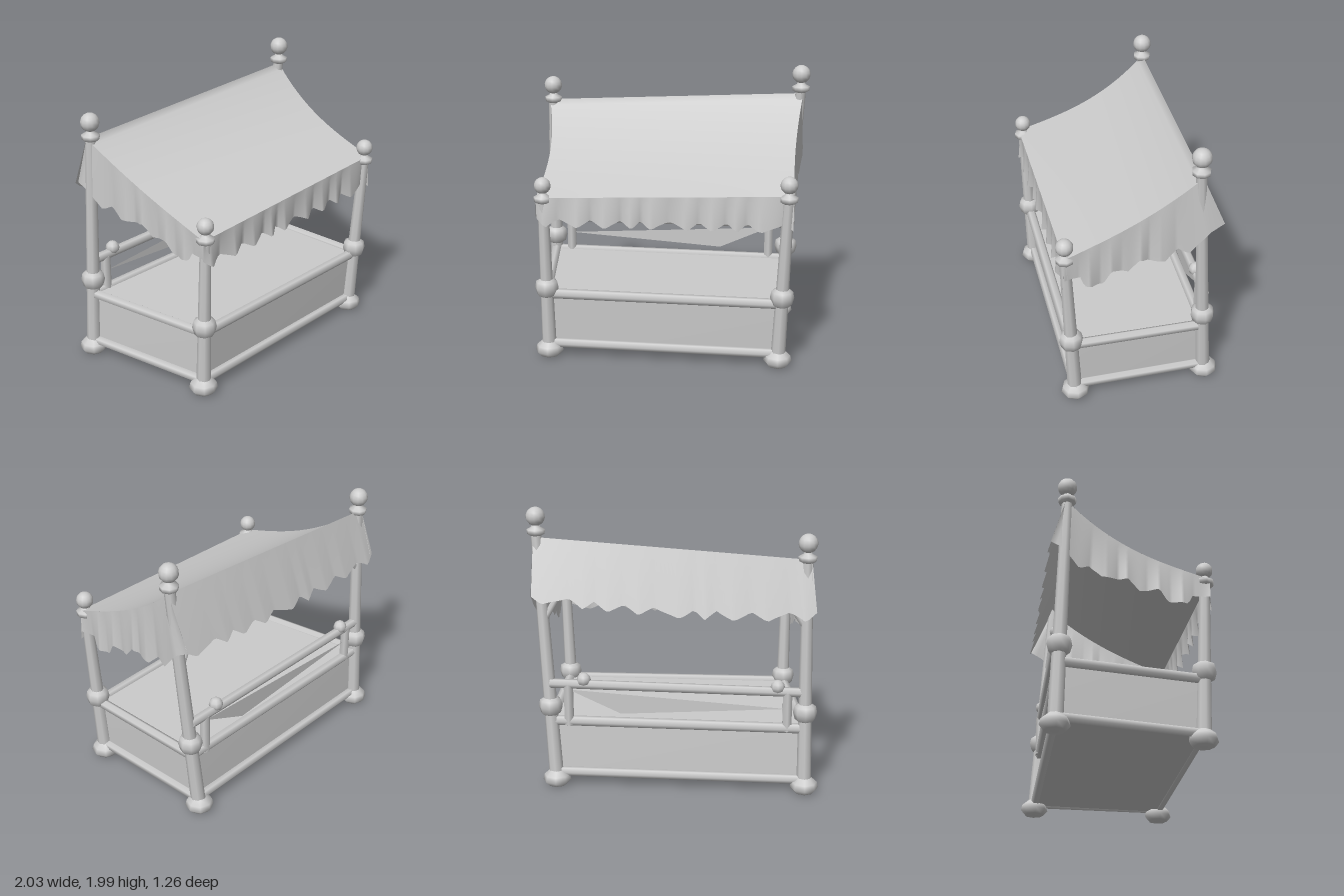
import * as THREE from 'three';
import { ParametricGeometry } from 'three/addons/geometries/ParametricGeometry.js';

const V = (x, y, z) => new THREE.Vector3(x, y, z);
const solid = new THREE.MeshStandardMaterial({ color: 0xcccccc });
const cloth = new THREE.MeshStandardMaterial({ color: 0xcccccc, side: THREE.DoubleSide });

function add(parent, name, geometry, material = solid) {
  const mesh = new THREE.Mesh(geometry, material);
  mesh.name = name;
  parent.add(mesh);
  return mesh;
}

// Tapered round bar between two points
function bar(parent, name, a, b, r0, r1 = r0, sides = 8) {
  const mesh = add(parent, name, new THREE.CylinderGeometry(r1, r0, a.distanceTo(b), sides));
  mesh.position.lerpVectors(a, b, 0.5);
  mesh.quaternion.setFromUnitVectors(V(0, 1, 0), b.clone().sub(a).normalize());
}

function lathe(parent, name, profile, position, sides = 8) {
  const points = profile.map(([r, y]) => new THREE.Vector2(r, y));
  add(parent, name, new THREE.LatheGeometry(points, sides)).position.copy(position);
}

// Posts: base, top (height of the upper ring), collar height and ball radius
const POSTS = {
  frontRight: { base: V(-0.825, 0, 0.44), top: V(-0.835, 1.19, 0.48), collar: 0.53, ball: 0.058 },
  frontLeft: { base: V(0.805, 0, 0.5), top: V(0.85, 1.25, 0.56), collar: 0.53, ball: 0.06 },
  backLeft: { base: V(0.825, 0, -0.445), top: V(0.935, 1.83, -0.32), collar: 0.59, ball: 0.066 },
  backRight: { base: V(-0.93, 0, -0.535), top: V(-0.91, 1.69, -0.48), collar: 0.6, ball: 0.066 },
};
const at = (post, y) => post.base.clone().lerp(post.top, y / post.top.y);

function buildPost(parent, key, post) {
  const group = new THREE.Group();
  group.name = key + 'Post';
  parent.add(group);
  bar(group, 'shaft', at(post, 0.03), post.top, 0.052, 0.037);
  lathe(group, 'foot', [[0, 0.005], [0.07, 0.01], [0.1, 0.045], [0.09, 0.085], [0.05, 0.12]], post.base);
  lathe(group, 'collar', [[0.045, -0.065], [0.07, -0.05], [0.084, 0], [0.075, 0.045], [0.045, 0.062]], at(post, post.collar));
  lathe(group, 'ring', [[0.03, -0.035], [0.06, -0.02], [0.064, 0.012], [0.03, 0.03], [0.025, 0.06]], post.top);
  add(group, 'ball', new THREE.SphereGeometry(post.ball, 12, 9)).position.copy(post.top).add(V(0, 0.035 + post.ball, 0));
}

// Skewed box whose vertical corners follow the leaning posts
function buildCounter(parent, y0, y1, inset) {
  const geometry = new THREE.BoxGeometry(2, 2, 2);
  const p = geometry.attributes.position;
  for (let i = 0; i < p.count; i++) {
    const x = p.getX(i), z = p.getZ(i);
    const key = (z > 0 ? 'front' : 'back') + (x > 0 ? 'Left' : 'Right');
    const c = at(POSTS[key], p.getY(i) > 0 ? y1 : y0);
    p.setXYZ(i, c.x - x * inset, c.y, c.z - z * inset);
  }
  geometry.computeVertexNormals();
  add(parent, 'counterBody', geometry);
}

// Canopy: sagging roof between the ridge and the front edge
const mix = (a, b, t) => a.clone().lerp(b, t);
const ridge = u => mix(V(-0.94, 1.68, -0.49), V(0.955, 1.79, -0.33), u);
const eave = u => mix(V(-0.88, 1.2, 0.505), V(0.885, 1.27, 0.572), u);
function roofPoint(u, v) {
  const p = mix(ridge(u), eave(u), v);
  const sag = Math.sin(Math.PI * Math.pow(v, 0.8));
  p.y -= 0.072 * sag;
  p.x += sag * (0.045 - 0.07 * u);
  return p;
}

// Uneven hanging points: 1 at a tip, 0 between tips
function scallop(u, n) {
  const w = n * u + 0.13 * Math.sin(17 * u) + 0.08 * Math.sin(31 * u);
  return 1 - Math.abs(2 * (w - Math.floor(w)) - 1);
}

// Ragged lower edge of the side cloths: [place along the slope, drop]
const SIDE_DROPS = [
  [0, 0.38], [0.04, 0.39], [0.124, 0.49], [0.18, 0.41], [0.26, 0.44], [0.44, 0.31], [0.52, 0.36],
  [0.65, 0.27], [0.71, 0.35], [0.85, 0.3], [0.88, 0.21], [1, 0.17],
];
function sideDrop(v) {
  const i = Math.max(1, SIDE_DROPS.findIndex(([place]) => place >= v - 1e-6));
  const [v0, d0] = SIDE_DROPS[i - 1], [v1, d1] = SIDE_DROPS[i];
  return d0 + (d1 - d0) * (v - v0) / (v1 - v0);
}

function sheet(parent, name, fn, nu, nv) {
  add(parent, name, new ParametricGeometry((u, v, out) => out.copy(fn(u, v)), nu, nv), cloth);
}

function buildCanopy(parent) {
  const group = new THREE.Group();
  group.name = 'canopy';
  parent.add(group);
  sheet(group, 'roof', roofPoint, 12, 25);

  sheet(group, 'frontValance', (u, t) => {
    const s = scallop(u, 9.5);
    return eave(u).add(V(0, -t * (0.15 + 0.05 * u + 0.055 * s), t * (0.035 * s - 0.01)));
  }, 76, 4);

  sheet(group, 'backValance', (u, t) => {
    const s = scallop(u, 9);
    const low = mix(V(-0.975, 1.34, -0.595), V(0.96, 1.43, -0.49), u);
    low.y -= 0.06 * s + 0.04 * Math.sin(Math.PI * u);
    low.z -= 0.025 * s - 0.01;
    return mix(ridge(u), low, t);
  }, 72, 5);

  for (const side of [-1, 1]) {
    sheet(group, side > 0 ? 'leftValance' : 'rightValance', (v, t) => {
      const corner = Math.pow(1 - v, 10);
      const p = roofPoint(side > 0 ? 1 : 0, v);
      p.y -= t * sideDrop(v) * (side > 0 ? 1 : 0.8 + 0.1 * corner);
      p.x += side * t * (0.025 * (scallop(v, 5.5) - 0.5) + 0.02 * corner);
      p.z -= corner * t * (side > 0 ? 0.16 : 0.1);
      return p;
    }, 50, 5);
  }
}

// Rail behind the counter with uprights, knobs and a slanted board
function buildBackRail(parent) {
  const group = new THREE.Group();
  group.name = 'backRail';
  parent.add(group);
  const a = V(-0.9, 0.745, -0.515), b = V(0.86, 0.762, -0.415);
  bar(group, 'rail', a, b, 0.034, 0.034, 6);
  for (const [x, knobX] of [[-0.8, -0.73], [0.73, 0.62]]) {
    const head = mix(a, b, (x - a.x) / (b.x - a.x));
    bar(group, 'upright', V(head.x, 0.46, head.z), head, 0.036, 0.036, 6);
    const knob = add(group, 'knob', new THREE.SphereGeometry(0.05, 8, 6));
    knob.position.copy(mix(a, b, (knobX - a.x) / (b.x - a.x))).add(V(0, 0.035, 0));
  }
  const board = new THREE.BufferGeometry().setFromPoints([V(-0.8, 0.62, -0.51), V(0.36, 0.55, -0.45), V(0.73, 0.72, -0.43)]);
  board.computeVertexNormals();
  add(group, 'board', board, cloth);
}

export function createModel() {
  const model = new THREE.Group();
  model.name = 'marketStall';
  for (const [key, post] of Object.entries(POSTS)) buildPost(model, key, post);

  // Counter and the rails framing it
  buildCounter(model, 0.08, 0.49, 0.012);
  const ring = Object.values(POSTS);
  ring.forEach((post, i) => {
    const next = ring[(i + 1) % 4];
    bar(model, 'lowerRail', at(post, 0.105), at(next, 0.1), 0.034, 0.034, 6);
    bar(model, 'upperRail', at(post, 0.485), at(next, 0.48), 0.036, 0.036, 6);
  });
  buildBackRail(model);

  // Braces from the back posts up to the ridge
  for (const [post, dir] of [[POSTS.backLeft, -1], [POSTS.backRight, 1]]) {
    bar(model, 'brace', at(post, 1.2), at(post, 1.45).add(V(dir * 0.16, 0, 0)), 0.025, 0.025, 6);
  }
  buildCanopy(model);
  return model;
}
